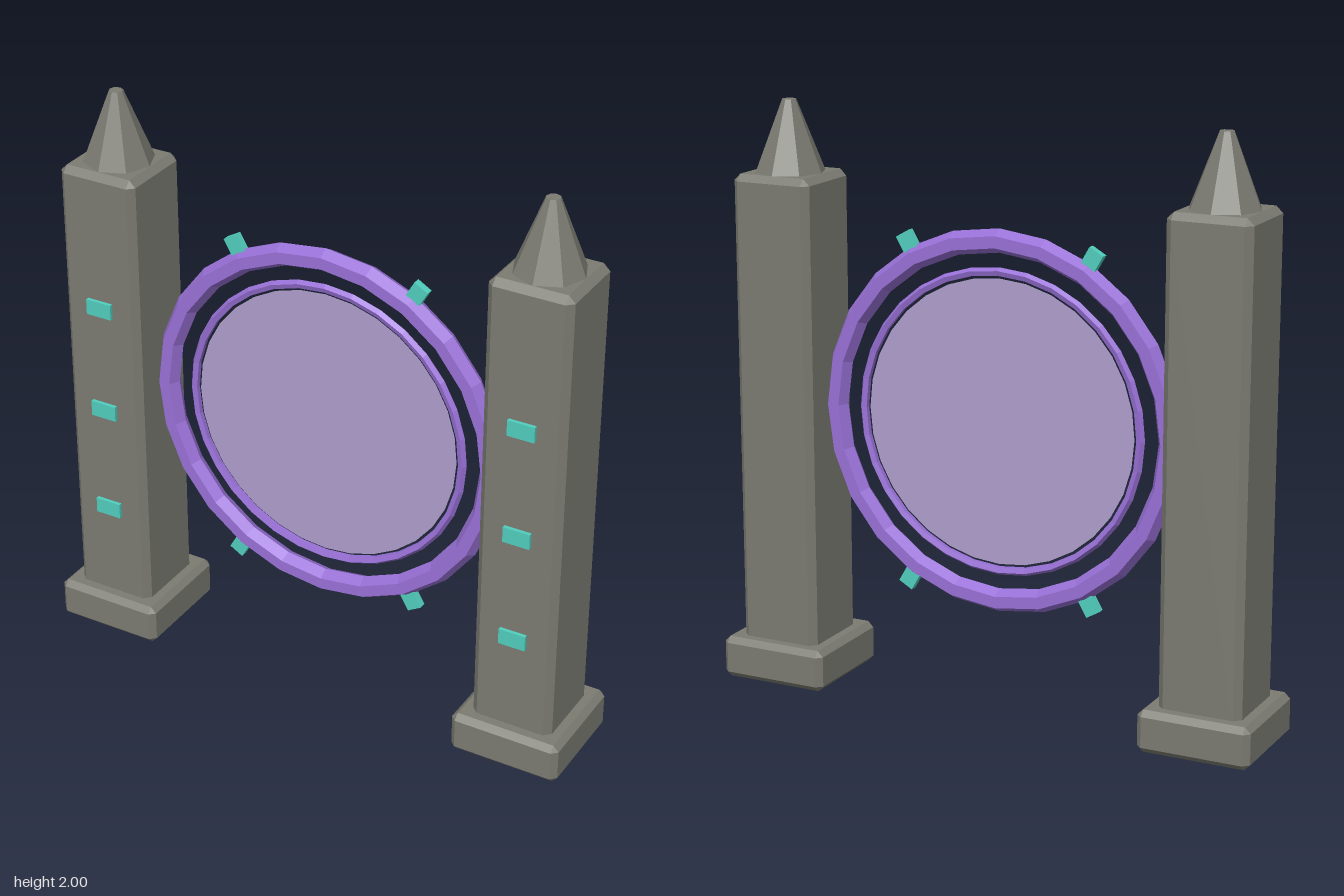
import * as THREE from 'three';
import { ConvexGeometry } from 'three/addons/geometries/ConvexGeometry.js';

const material = (name, color, extra = {}) => {
  const m = new THREE.MeshStandardMaterial({ color, ...extra });
  m.name = name;
  return m;
};

// Box with every edge cut by a flat chamfer
function chamferBox(w, h, d, b) {
  const points = [];
  for (const sx of [-1, 1]) for (const sy of [-1, 1]) for (const sz of [-1, 1]) {
    for (let full = 0; full < 3; full++) {
      const half = [w / 2, h / 2, d / 2].map((v, i) => (i === full ? v : v - b));
      points.push(new THREE.Vector3(sx * half[0], sy * half[1], sz * half[2]));
    }
  }
  return new ConvexGeometry(points);
}

export function createModel() {
  const model = new THREE.Group();
  model.name = 'portalGate';

  const stone = material('stone', 0x7b7b72, { flatShading: true });
  const purple = material('purple frame', 0x9870d6, { flatShading: true });
  const teal = material('teal crystal', 0x50cebe, { flatShading: true });
  const veil = material('pale violet veil', 0xae9dcc, { side: THREE.DoubleSide });

  const add = (parent, name, geometry, mat, x = 0, y = 0, z = 0) => {
    const mesh = new THREE.Mesh(geometry, mat);
    mesh.name = name;
    mesh.position.set(x, y, z);
    parent.add(mesh);
    return mesh;
  };

  // Two obelisks with glowing tablets on the front
  for (const side of [-1, 1]) {
    const pillar = new THREE.Group();
    pillar.name = side > 0 ? 'leftPillar' : 'rightPillar';
    pillar.position.x = side * 0.78;
    model.add(pillar);
    add(pillar, 'plinth', chamferBox(0.39, 0.145, 0.39, 0.02), stone, 0, 0.0725);
    add(pillar, 'shaft', chamferBox(0.288, 1.66, 0.288, 0.023), stone, 0, 0.928);
    add(pillar, 'spire', new THREE.CylinderGeometry(0.024, 0.123, 0.25, 8), stone, 0, 1.875);
    for (const y of [0.49, 0.88, 1.27]) {
      add(pillar, 'tablet', new THREE.BoxGeometry(0.095, 0.055, 0.03), teal, 0, y, 0.142);
    }
  }

  // Ring portal between the pillars
  const portal = new THREE.Group();
  portal.name = 'portal';
  portal.position.y = 0.98;
  model.add(portal);
  add(portal, 'outerRing', new THREE.TorusGeometry(0.61, 0.04, 6, 24), purple);
  add(portal, 'innerRing', new THREE.TorusGeometry(0.507, 0.015, 5, 32), purple);
  add(portal, 'veil', new THREE.CircleGeometry(0.485, 32), veil);

  // Studs on the outer ring
  for (const degrees of [60, 120, 240, 300]) {
    const a = THREE.MathUtils.degToRad(degrees);
    const stud = add(portal, 'stud', new THREE.BoxGeometry(0.06, 0.055, 0.026), teal,
      0.67 * Math.cos(a), 0.67 * Math.sin(a));
    stud.rotation.z = a;
  }

  return model;
}
